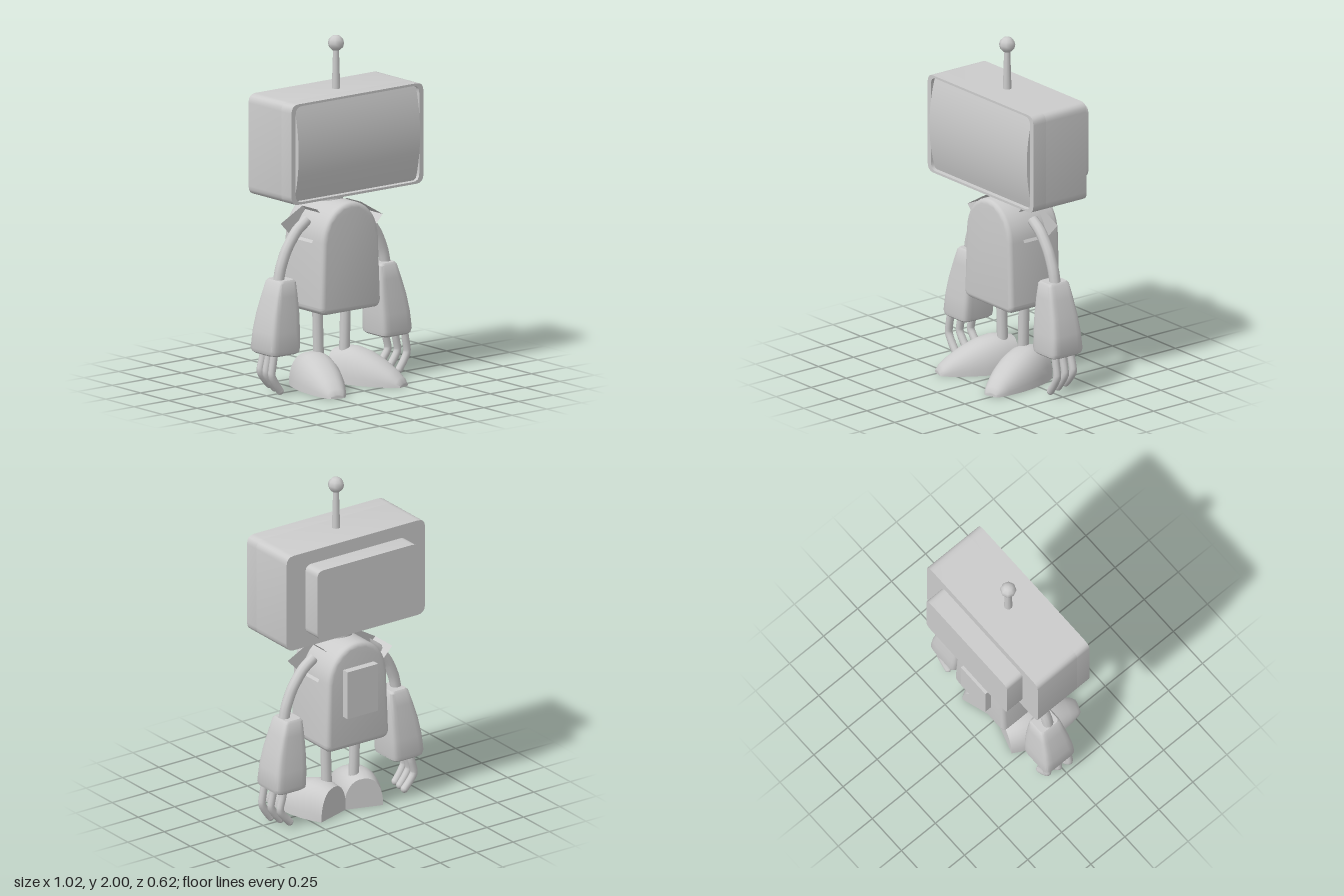
import * as THREE from 'three';
import { mergeGeometries, toCreasedNormals } from 'three/addons/utils/BufferGeometryUtils.js';

const grey = new THREE.MeshStandardMaterial({ color: 0xcccccc });

function roundedRect(Type, hx, y0, y1, r) {
  const p = new Type();
  p.moveTo(-hx + r, y0).lineTo(hx - r, y0).quadraticCurveTo(hx, y0, hx, y0 + r);
  p.lineTo(hx, y1 - r).quadraticCurveTo(hx, y1, hx - r, y1);
  p.lineTo(-hx + r, y1).quadraticCurveTo(-hx, y1, -hx, y1 - r);
  p.lineTo(-hx, y0 + r).quadraticCurveTo(-hx, y0, -hx + r, y0);
  return p;
}

// Extrudes a shape from z0 to z1
function slab(shape, z0, z1, curveSegments = 4) {
  const geo = new THREE.ExtrudeGeometry(shape, { depth: z1 - z0, bevelEnabled: false, curveSegments });
  return toCreasedNormals(geo.translate(0, 0, z0), 0.5);
}

// Skins closed rings (counter-clockwise about the direction of travel) and caps both ends
function loft(rings, crease) {
  const n = rings[0].length, last = rings.length - 1, pos = [];
  const tri = (...pts) => pts.forEach(p => pos.push(p.x, p.y, p.z));
  const centre = ring => ring.reduce((s, p) => s.add(p), new THREE.Vector3()).divideScalar(n);
  const c0 = centre(rings[0]), c1 = centre(rings[last]);
  for (let j = 0; j < n; j++) {
    const k = (j + 1) % n;
    for (let i = 0; i < last; i++) {
      const a = rings[i][j], b = rings[i][k], c = rings[i + 1][k], d = rings[i + 1][j];
      tri(a, b, c);
      tri(a, c, d);
    }
    tri(c0, rings[0][k], rings[0][j]);
    tri(c1, rings[last][j], rings[last][k]);
  }
  const geo = new THREE.BufferGeometry();
  geo.setAttribute('position', new THREE.Float32BufferAttribute(pos, 3));
  return toCreasedNormals(geo, crease);
}

// Round bar along points, with a ball at its end
function bar(points, radius) {
  const pts = points.map(p => new THREE.Vector3(...p));
  const curve = new THREE.CatmullRomCurve3(pts, false, 'catmullrom', 0.35);
  const end = pts[pts.length - 1];
  return mergeGeometries([
    new THREE.TubeGeometry(curve, 14, radius, 10),
    new THREE.SphereGeometry(radius, 10, 8).translate(end.x, end.y, end.z),
  ]);
}

function mirrored(geo) {
  const out = geo.index ? geo.toNonIndexed() : geo.clone();
  out.scale(-1, 1, 1);
  for (const name of ['position', 'normal']) {
    const a = out.attributes[name].array;
    for (let i = 0; i < a.length; i += 9)
      for (let k = 3; k < 6; k++) [a[i + k], a[i + k + 3]] = [a[i + k + 3], a[i + k]];
  }
  return out;
}

export function createModel() {
  const model = new THREE.Group();
  model.name = 'robot';
  const add = (name, geo) => {
    const mesh = new THREE.Mesh(geo, grey);
    mesh.name = name;
    model.add(mesh);
  };
  const pair = (name, geo) => {
    add(name + 'Left', geo);
    add(name + 'Right', mirrored(geo));
  };

  // Head: solid back, hollow rim in front and a box behind
  add('headCase', slab(roundedRect(THREE.Shape, 0.475, 1.12, 1.695, 0.05), -0.19, 0.1));
  const rim = roundedRect(THREE.Shape, 0.475, 1.12, 1.695, 0.05);
  rim.holes.push(roundedRect(THREE.Path, 0.445, 1.133, 1.682, 0.045));
  add('headRim', slab(rim, 0.1, 0.19));
  add('headBack', slab(roundedRect(THREE.Shape, 0.345, 1.2, 1.617, 0.04), -0.305, -0.18));

  // Screen bulging from top to bottom
  const bulge = new THREE.Shape();
  bulge.moveTo(-0.09, -0.272);
  for (let i = 0; i <= 16; i++) {
    const y = -0.272 + 0.544 * i / 16;
    bulge.lineTo(-(0.207 - 0.55 * y * y), y);
  }
  bulge.lineTo(-0.09, 0.272);
  add('screen', slab(bulge, -0.437, 0.437).rotateY(Math.PI / 2).translate(0, 1.408, 0));

  // Antenna and neck
  add('antenna', new THREE.CylinderGeometry(0.017, 0.025, 0.25, 10).translate(0, 1.8, 0));
  add('antennaBall', new THREE.SphereGeometry(0.046, 8, 6).translate(0, 1.954, 0));
  add('neck', new THREE.CylinderGeometry(0.066, 0.066, 0.12, 16).translate(0, 1.08, -0.04));

  // Arched body with rounded edges
  const b = 0.025, torso = new THREE.Shape();
  torso.moveTo(-0.17, 0.44 + b).lineTo(0.17, 0.44 + b);
  torso.quadraticCurveTo(0.19, 0.44 + b, 0.19, 0.485);
  torso.lineTo(0.175, 0.85);
  torso.bezierCurveTo(0.17, 0.96, 0.09, 1.065 - b, 0, 1.065 - b);
  torso.bezierCurveTo(-0.09, 1.065 - b, -0.17, 0.96, -0.175, 0.85);
  torso.lineTo(-0.19, 0.485);
  torso.quadraticCurveTo(-0.19, 0.44 + b, -0.17, 0.44 + b);
  const body = new THREE.ExtrudeGeometry(torso, {
    depth: 0.355 - 2 * b, bevelThickness: b, bevelSize: b, bevelSegments: 3, curveSegments: 10,
  });
  add('body', toCreasedNormals(body.translate(0, 0, -0.215 + b), 0.7));
  add('backPanel', new THREE.BoxGeometry(0.21, 0.285, 0.06).translate(0, 0.785, -0.228));

  // Shoulder guards: blocks flaring outward
  const guardRing = (x, y, half, hz) => [[1, 1], [-1, 1], [-1, -1], [1, -1]].map(([u, w]) =>
    new THREE.Vector3(x + 0.69 * half * u, y + 0.72 * half * u, -0.038 + hz * w));
  pair('shoulderGuard', loft([guardRing(0.137, 1.005, 0.03, 0.065), guardRing(0.255, 0.892, 0.066, 0.082)].reverse(), 0.3));

  // Upper arms
  pair('upperArm', bar([[0.18, 0.96, -0.037], [0.255, 0.905, -0.037], [0.325, 0.81, -0.037],
    [0.368, 0.71, -0.037], [0.387, 0.62, -0.037]], 0.032));

  // Forearms: rounded square sections, [y, inner x, outer x, half depth]
  const cuffRing = ([y, x0, x1, hz]) => Array.from({ length: 24 }, (_, i) => {
    const t = (i + 0.5) / 24 * Math.PI * 2, s = Math.sin(t), c = Math.cos(t);
    const soft = v => Math.sign(v) * Math.abs(v) ** 0.3;
    return new THREE.Vector3((x0 + x1) / 2 + (x1 - x0) / 2 * soft(s), y, -0.042 + hz * soft(c));
  });
  pair('forearm', loft([
    [0.23, 0.312, 0.487, 0.095], [0.24, 0.299, 0.502, 0.106], [0.262, 0.295, 0.51, 0.11],
    [0.36, 0.291, 0.5, 0.104], [0.46, 0.29, 0.48, 0.094], [0.56, 0.295, 0.45, 0.082],
    [0.635, 0.302, 0.425, 0.072], [0.648, 0.312, 0.413, 0.062],
  ].map(cuffRing), 0.6));

  // Three curled fingers on each hand
  [[0.03, 0], [-0.037, 0.017], [-0.105, 0.034]].forEach(([z, d], i) =>
    pair('finger' + (i + 1), bar([[0.465 - d, 0.26, z], [0.476 - d, 0.2, z], [0.487 - d * 0.8, 0.125, z],
      [0.462 - d, 0.075, z], [0.428 - d, 0.028 + d * 0.3, z]], 0.022)));

  // Legs
  pair('leg', bar([[0.102, 0.47, -0.04], [0.097, 0.3, -0.04], [0.091, 0.12, -0.04]], 0.031));

  // Feet: arched sections from heel to toe, turned outward, [z, half width, height]
  const footRing = ([z, hw, h]) => Array.from({ length: 17 }, (_, i) => {
    const t = i / 16 * Math.PI, c = Math.cos(t);
    return new THREE.Vector3(hw * Math.sign(c) * Math.abs(c) ** 0.85, h * Math.abs(Math.sin(t)) ** 0.9, z);
  });
  const foot = loft([
    [-0.07, 0.115, 0.175], [-0.01, 0.128, 0.193], [0.06, 0.132, 0.195], [0.14, 0.126, 0.176],
    [0.23, 0.107, 0.137], [0.31, 0.08, 0.09], [0.36, 0.057, 0.05], [0.38, 0.04, 0.022],
  ].map(footRing), 0.8);
  pair('foot', foot.rotateY(0.31).translate(0.124, 0.005, -0.055));

  return model;
}
